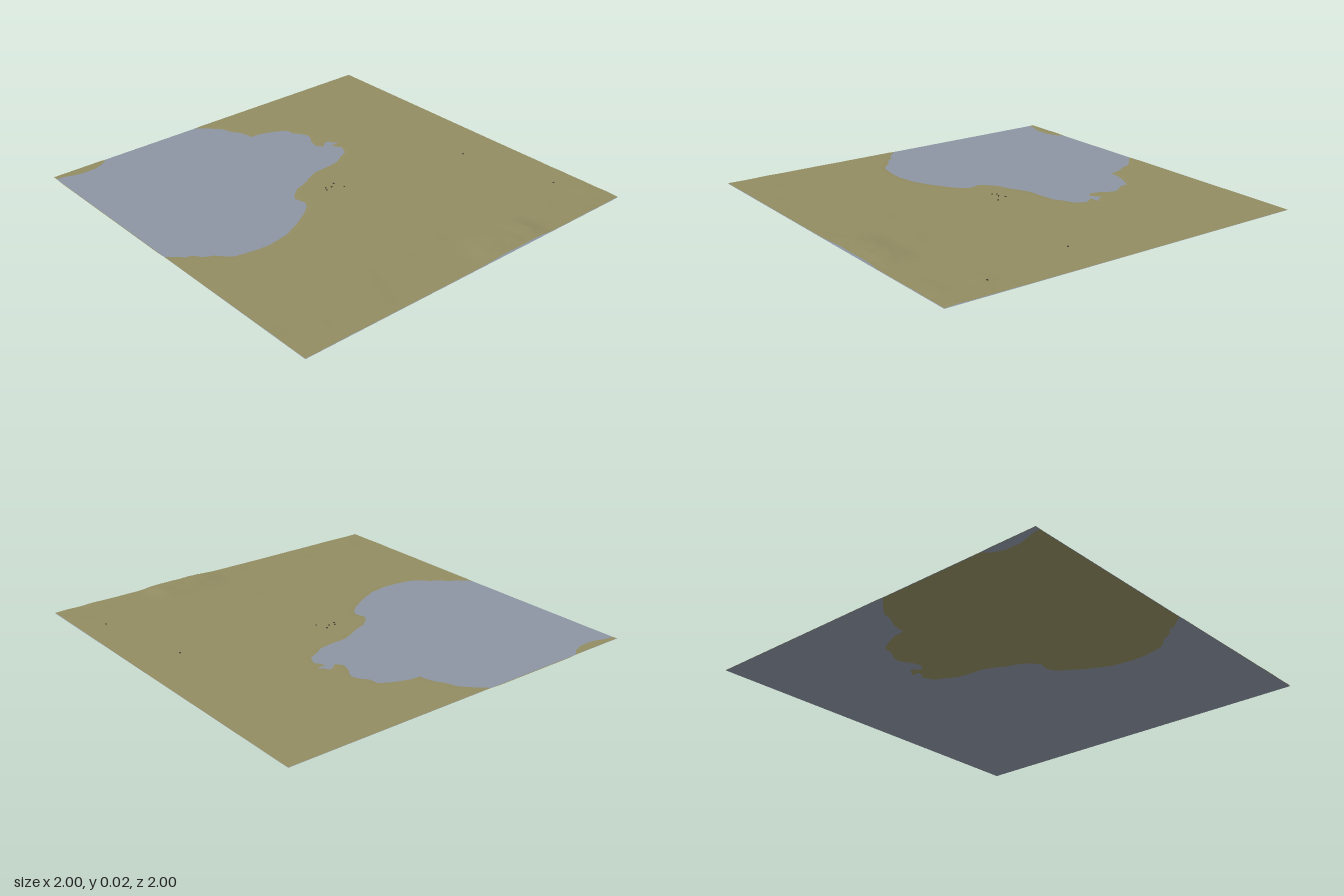
import * as THREE from 'three';

const WATER = 0.003;
const SEGMENTS = 200;

// lake shoreline as x, z pairs; it runs past the tile edges where the lake is cut off
const SHORE = [
  -1.2, 0.3, -1, 0.13, -0.94, 0.065, -0.89, 0.02, -0.835, 0.005, -0.8, -0.02, -0.735, -0.04, -0.715, -0.035,
  -0.71, -0.1, -0.685, -0.17, -0.65, -0.235, -0.595, -0.24, -0.57, -0.265, -0.525, -0.285, -0.485, -0.27,
  -0.46, -0.25, -0.405, -0.235, -0.37, -0.26, -0.4, -0.3, -0.4, -0.325, -0.375, -0.325, -0.365, -0.35,
  -0.35, -0.34, -0.355, -0.3, -0.33, -0.31, -0.3, -0.33, -0.245, -0.305, -0.22, -0.25, -0.19, -0.2,
  -0.18, -0.13, -0.175, -0.04, -0.15, 0.02, -0.12, 0.075, -0.1, 0.14, -0.065, 0.185, -0.03, 0.215,
  0.03, 0.2, 0.065, 0.215, 0.11, 0.27, 0.165, 0.36, 0.21, 0.46, 0.23, 0.57, 0.225, 0.65, 0.205, 0.755,
  0.175, 0.79, 0.14, 0.82, 0.115, 0.87, 0.075, 0.895, 0.065, 0.93, 0.03, 0.965, 0, 1, -0.1, 1.2,
  -1, 1.2, -0.975, 1, -0.97, 0.96, -0.945, 0.88, -0.945, 0.795, -0.965, 0.74, -1, 0.7, -1.2, 0.6,
];

// distance to the shoreline, negative inside the lake
function shoreDistance(x, z) {
  let best = Infinity;
  let inside = false;
  const n = SHORE.length;
  for (let i = 0, j = n - 2; i < n; j = i, i += 2) {
    const ax = SHORE[j], az = SHORE[j + 1], bx = SHORE[i], bz = SHORE[i + 1];
    const dx = bx - ax, dz = bz - az;
    const t = THREE.MathUtils.clamp(((x - ax) * dx + (z - az) * dz) / (dx * dx + dz * dz), 0, 1);
    best = Math.min(best, Math.hypot(x - ax - t * dx, z - az - t * dz));
    if ((az > z) !== (bz > z) && x < ax + ((z - az) / dz) * dx) inside = !inside;
  }
  return inside ? -best : best;
}

// smooth value noise in 0..1
function hash(i, j) {
  const s = Math.sin(i * 127.1 + j * 311.7) * 43758.5453;
  return s - Math.floor(s);
}

function noise(x, z) {
  const i = Math.floor(x), j = Math.floor(z);
  const u = THREE.MathUtils.smoothstep(x - i, 0, 1);
  const v = THREE.MathUtils.smoothstep(z - j, 0, 1);
  const { lerp } = THREE.MathUtils;
  return lerp(lerp(hash(i, j), hash(i + 1, j), u), lerp(hash(i, j + 1), hash(i + 1, j + 1), u), v);
}

// ground height: lake bed at zero, flat plain, rolling east side and a rugged ridge
function groundHeight(x, z) {
  const { clamp, smoothstep } = THREE.MathUtils;
  const d = shoreDistance(x, z);
  const base = WATER + clamp(d * 0.06, -WATER, 0.0015);
  if (d <= 0) return base;
  const land = smoothstep(d, 0, 0.2);
  const rolling = 0.0025 * smoothstep(x, 0.1, 0.9) * noise(x * 9 + z * 4, z * 9 - x * 4);
  const northEast = 0.0025 * smoothstep(x + 0.6 * -z, 0.9, 1.5) * noise(x * 14, z * 14);
  const ridge = smoothstep(x, 0.74, 0.9) * (1 - 0.35 * smoothstep(x, 0.92, 1))
    * smoothstep(z, -0.52, -0.4) * (1 - smoothstep(z, -0.2, 0.0));
  const rugged = 0.6 + 0.3 * noise(x * 16, z * 12) + 0.15 * noise(x * 35, z * 30);
  return base + land * (rolling + northEast + 0.016 * ridge * rugged);
}

export function createModel() {
  const grass = new THREE.MeshStandardMaterial({ color: 0x928c62, side: THREE.DoubleSide });
  grass.name = 'dry grass';
  const water = new THREE.MeshStandardMaterial({ color: 0x8c95a4, side: THREE.DoubleSide });
  water.name = 'lake water';
  const dark = new THREE.MeshStandardMaterial({ color: 0x4a4535 });
  dark.name = 'dark huts';

  const model = new THREE.Group();
  model.name = 'lakeLandscape';

  // terrain sheet that dips below the water inside the shoreline
  const ground = new THREE.PlaneGeometry(2, 2, SEGMENTS, SEGMENTS).rotateX(-Math.PI / 2);
  const p = ground.attributes.position;
  for (let i = 0; i < p.count; i++) p.setY(i, groundHeight(p.getX(i), p.getZ(i)));
  ground.computeVertexNormals();
  const terrain = new THREE.Mesh(ground, grass);
  terrain.name = 'terrain';
  model.add(terrain);

  // water sheet under the whole tile
  const lake = new THREE.Mesh(new THREE.PlaneGeometry(2, 2).rotateX(-Math.PI / 2), water);
  lake.name = 'waterSheet';
  lake.position.y = WATER;
  model.add(lake);

  // tiny hamlet by the shore and two outlying huts
  const huts = new THREE.Group();
  huts.name = 'huts';
  const spots = [[-0.02, -0.03], [0.04, -0.05], [0.01, 0.04], [0, 0], [-0.01, 0.03], [0.18, -0.76], [0.7, -0.87]];
  const hutShape = new THREE.BoxGeometry(0.007, 0.004, 0.007);
  spots.forEach(([x, z], i) => {
    const hut = new THREE.Mesh(hutShape, dark);
    hut.name = 'hut' + (i + 1);
    hut.position.set(x, groundHeight(x, z) + 0.0015, z);
    hut.rotation.y = i;
    huts.add(hut);
  });
  model.add(huts);
  return model;
}
